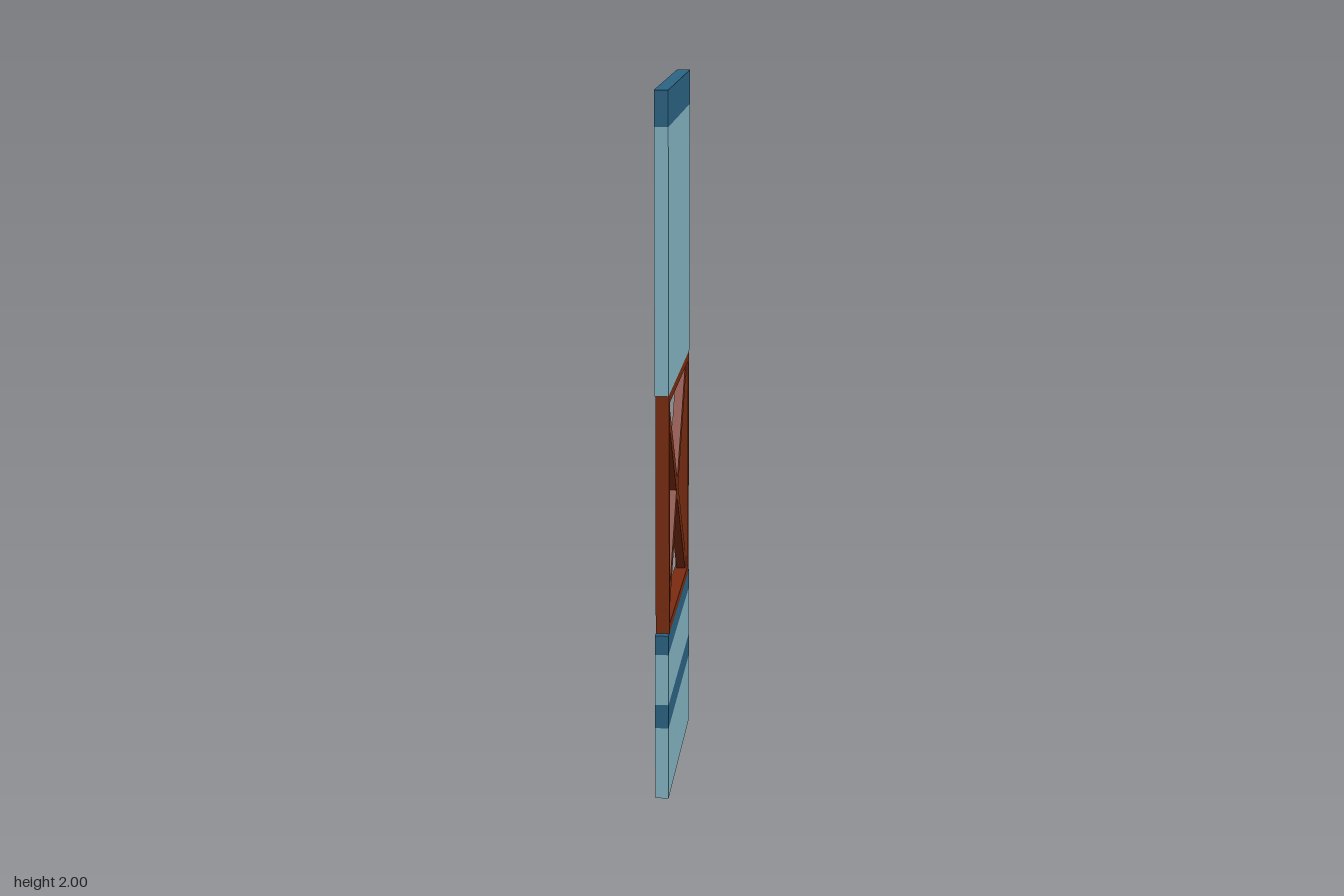
import * as THREE from 'three';

export function createModel() {
  const model = new THREE.Group();
  model.name = 'bannerPanel';
  const material = (name, color) => {
    const m = new THREE.MeshStandardMaterial({ color });
    m.name = name;
    return m;
  };
  const paleBlue = material('paleBlue', 0x85b7c5);
  const deepBlue = material('deepBlue', 0x2c6485);
  const rust = material('rust', 0x7b2c10);

  const box = (name, mat, w, h, d, y, z = 0, tilt = 0, parent = model) => {
    const mesh = new THREE.Mesh(new THREE.BoxGeometry(w, h, d), mat);
    mesh.name = name;
    mesh.position.set(0, y, z);
    mesh.rotation.x = tilt;
    parent.add(mesh);
  };

  // Stacked bands of the lower and upper panels
  const bands = [
    ['lowerPanel', paleBlue, 0, 0.213],
    ['lowerStripe', deepBlue, 0.213, 0.283],
    ['middlePanel', paleBlue, 0.283, 0.432],
    ['middleStripe', deepBlue, 0.432, 0.488],
    ['upperPanel', paleBlue, 1.175, 1.903],
    ['topStripe', deepBlue, 1.903, 2],
  ];
  for (const [name, mat, y0, y1] of bands) {
    box(name, mat, 0.038, y1 - y0, 0.61, (y0 + y1) / 2);
  }

  // Open rectangular frame between the panels
  const frame = new THREE.Group();
  frame.name = 'bracedFrame';
  model.add(frame);
  const bottom = 0.488, top = 1.175, half = 0.284, bar = 0.026;
  const mid = (bottom + top) / 2;
  box('bottomRail', rust, 0.038, bar, half * 2, bottom + bar / 2, 0, 0, frame);
  box('topRail', rust, 0.038, bar, half * 2, top - bar / 2, 0, 0, frame);

  // Side posts and crossed diagonal braces
  const run = 0.51, rise = 0.63;
  for (const side of [-1, 1]) {
    box(side > 0 ? 'frontPost' : 'backPost', rust, 0.038, top - bottom - bar * 2, bar,
      mid, side * (half - bar / 2), 0, frame);
    box(side > 0 ? 'risingBrace' : 'fallingBrace', rust, 0.026, Math.hypot(run, rise), 0.038,
      mid, 0, side * Math.atan2(run, rise), frame);
  }
  return model;
}
